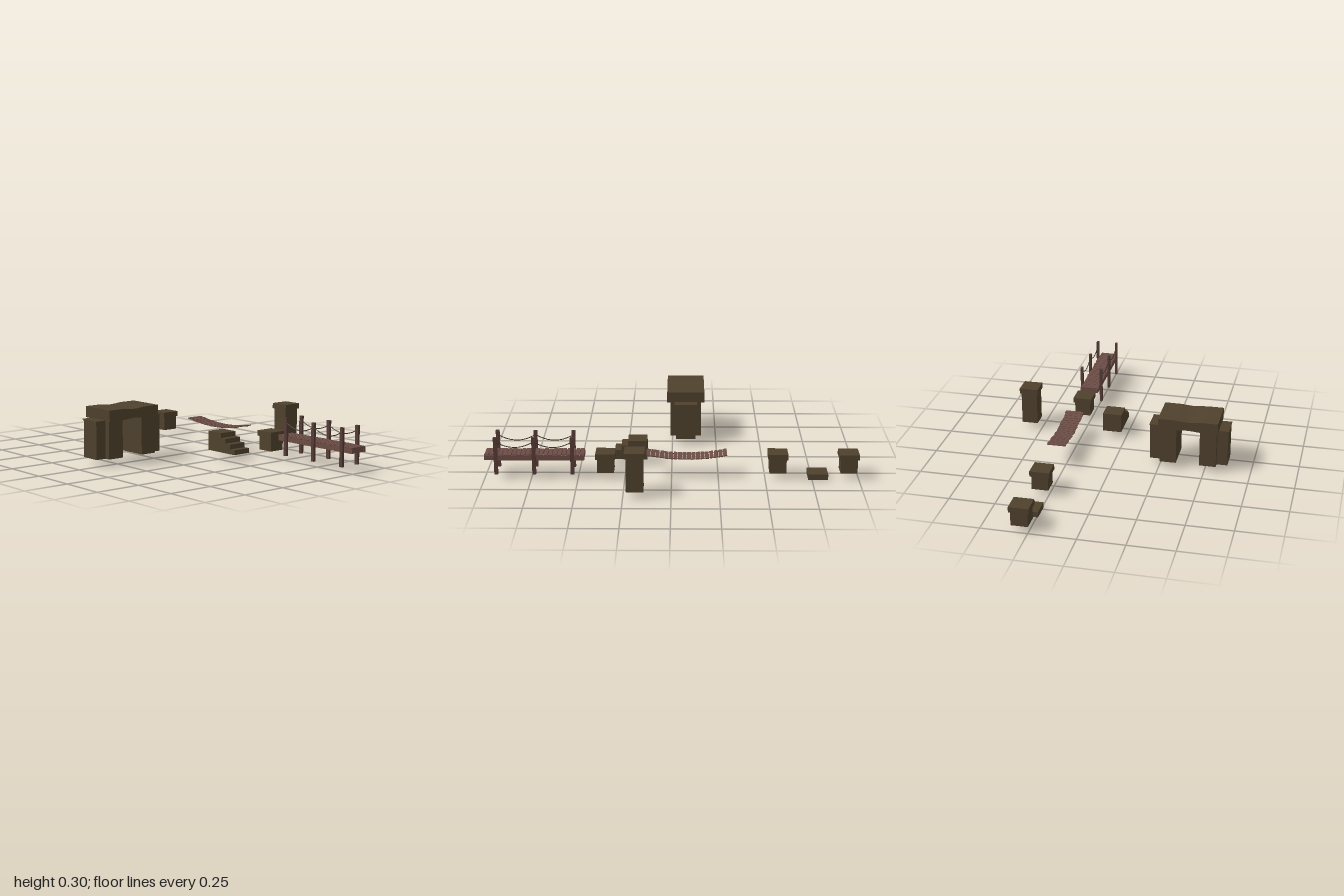
import * as THREE from 'three';

const stone = new THREE.MeshStandardMaterial({ color: 0x4f412d });
stone.name = 'stone';
const wood = new THREE.MeshStandardMaterial({ color: 0x6c4d45 });
wood.name = 'wood';
const darkWood = new THREE.MeshStandardMaterial({ color: 0x563c37 });
darkWood.name = 'dark wood';
const rope = new THREE.MeshStandardMaterial({ color: 0x3c332c });
rope.name = 'rope';

// Box given by its limits on each axis
function block(parent, name, x0, x1, y0, y1, z0, z1, material = stone) {
  const mesh = new THREE.Mesh(new THREE.BoxGeometry(x1 - x0, y1 - y0, z1 - z0), material);
  mesh.position.set((x0 + x1) / 2, (y0 + y1) / 2, (z0 + z1) / 2);
  mesh.name = name;
  parent.add(mesh);
  return mesh;
}

function group(parent, name) {
  const g = new THREE.Group();
  g.name = name;
  parent.add(g);
  return g;
}

function seeded(seed) {
  return () => {
    seed = (seed * 16807) % 2147483647;
    return seed / 2147483647 - 0.5;
  };
}

// Block with an overhanging cap, given by its centre and top height
function pedestal(parent, name, x, z, top) {
  const g = group(parent, name);
  block(g, 'body', x - 0.045, x + 0.045, 0.033, top - 0.03, z - 0.045, z + 0.045);
  block(g, 'cap', x - 0.053, x + 0.053, top - 0.03, top, z - 0.053, z + 0.053);
}

// Rope hanging between two heights along z
function hangingRope(parent, name, x, z0, z1, y, sag, radius) {
  const curve = new THREE.QuadraticBezierCurve3(
    new THREE.Vector3(x, y, z0),
    new THREE.Vector3(x, y - 2 * sag, (z0 + z1) / 2),
    new THREE.Vector3(x, y, z1)
  );
  const mesh = new THREE.Mesh(new THREE.TubeGeometry(curve, 12, radius, 5), rope);
  mesh.name = name;
  parent.add(mesh);
}

// Stone gateway: paired pillars under a pinched lintel
function gateway(parent) {
  const g = group(parent, 'gateway');
  const cx = -0.408, cz = -0.076;
  for (const s of [-1, 1]) {
    const span = (name, a, b, y0, y1, half) => block(g, name,
      cx + Math.min(s * a, s * b), cx + Math.max(s * a, s * b), y0, y1, cz - half, cz + half);
    span('innerPillar', 0.064, 0.155, 0.033, 0.237, 0.088);
    span('outerPillar', 0.155, 0.214, 0.033, 0.236, 0.056);
    span('pillarPlate', 0.15, 0.217, 0.236, 0.24, 0.064);
  }
  const geo = new THREE.BoxGeometry(0.325, 0.06, 0.212, 12, 1, 1);
  const p = geo.attributes.position;
  for (let i = 0; i < p.count; i++) {
    const t = Math.min(1, Math.abs(p.getX(i)) / 0.08);
    p.setY(i, p.getY(i) * (1 - 0.1 * (1 + Math.cos(Math.PI * t))));
  }
  geo.computeVertexNormals();
  const lintel = new THREE.Mesh(geo, stone);
  lintel.name = 'lintel';
  lintel.position.set(cx, 0.268, cz);
  g.add(lintel);
}

// Four solid steps descending toward the front
function staircase(parent) {
  const shape = new THREE.Shape();
  shape.moveTo(0.135, 0.033);
  shape.lineTo(0.348, 0.033);
  for (let i = 0; i < 4; i++) {
    const z = 0.348 - i * 0.036, y = 0.033 + (i + 1) * 0.0265;
    shape.lineTo(z, y);
    shape.lineTo(i < 3 ? z - 0.036 : 0.135, y);
  }
  const geo = new THREE.ExtrudeGeometry(shape, { depth: 0.107, bevelEnabled: false });
  geo.rotateY(-Math.PI / 2);
  geo.translate(0.133, 0, 0);
  const mesh = new THREE.Mesh(geo, stone);
  mesh.name = 'staircase';
  parent.add(mesh);
}

// Sagging plank bridge
function ropeBridge(parent) {
  const g = group(parent, 'ropeBridge');
  const rand = seeded(71);
  const z0 = -0.297, z1 = 0.135, mid = (z0 + z1) / 2, half = (z1 - z0) / 2;
  const n = 18, pitch = (z1 - z0) / n;
  for (let i = 0; i < n; i++) {
    const z = z0 + (i + 0.5) * pitch;
    const u = (z - mid) / half;
    const y = 0.114 + 0.022 * u * u;
    const x = 0.295 + rand() * 0.006;
    const w = pitch * (0.86 + rand() * 0.12) / 2;
    const plank = block(g, 'plank', x - 0.051, x + 0.051, y - 0.002, y + 0.003, z - w, z + w, wood);
    plank.rotation.set(-Math.atan(0.044 * u / half), rand() * 0.06, 0);
  }
  for (const x of [0.257, 0.333]) hangingRope(g, 'carryingRope', x, z0, z1, 0.134, 0.023, 0.002);
}

// Raised deck with posts and rope railings
function pier(parent) {
  const g = group(parent, 'pier');
  const rand = seeded(29);
  const z0 = 0.465, z1 = 0.998, n = 22, pitch = (z1 - z0) / n;
  for (let i = 0; i < n; i++) {
    const z = z0 + (i + 0.5) * pitch;
    const x = 0.294 + rand() * 0.007;
    const w = pitch * (0.88 + rand() * 0.1) / 2;
    const plank = block(g, 'plank', x - 0.051, x + 0.051, 0.129, 0.137, z - w, z + w, wood);
    plank.rotation.y = rand() * 0.05;
  }
  for (const z of [0.472, 0.732, 0.988])
    block(g, 'crossBeam', 0.252, 0.338, 0.107, 0.129, z - 0.006, z + 0.006, wood);
  const posts = [0.528, 0.732, 0.935];
  for (const s of [-1, 1]) {
    const beamX = 0.295 + s * 0.046, postX = 0.294 + s * 0.058;
    block(g, 'sideBeam', beamX - 0.006, beamX + 0.006, 0.106, 0.131, z0, z1, wood);
    for (const z of posts)
      block(g, 'post', postX - 0.007, postX + 0.007, 0.03, 0.237, z - 0.01, z + 0.01, darkWood);
    for (let i = 0; i < 2; i++)
      hangingRope(g, 'railRope', postX, posts[i], posts[i + 1], 0.213, 0.032, 0.0025);
  }
}

export function createModel() {
  const model = new THREE.Group();
  model.name = 'stoneAndBridgePieces';
  gateway(model);
  staircase(model);
  pedestal(model, 'tallPedestal', 0.568, 0.188, 0.247);
  for (const z of [0.353, -0.568, -0.947]) pedestal(model, 'lowPedestal', 0.295, z, 0.14);
  block(model, 'flatSlab', 0.243, 0.348, 0, 0.03, -0.836, -0.73);
  ropeBridge(model);
  pier(model);
  return model;
}
